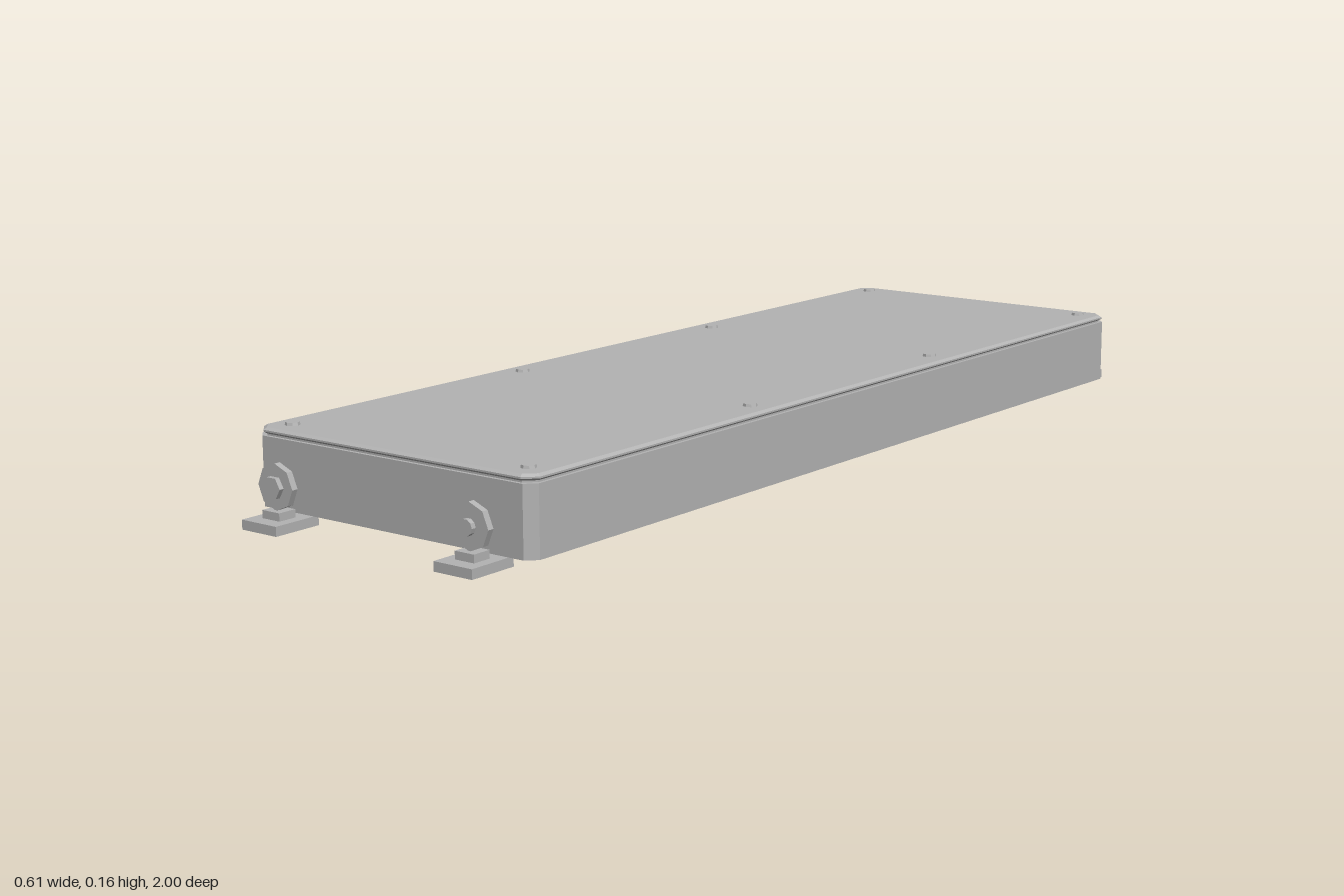
import * as THREE from 'three';

const HALF_X = 0.306, HALF_Z = 0.918, CUT = 0.018;

// Rectangle with cut corners, shrunk by an inset
function cutRect(inset = 0) {
  const w = HALF_X - inset, h = HALF_Z - inset, c = CUT;
  return new THREE.Shape([
    [w - c, -h], [w, -h + c], [w, h - c], [w - c, h],
    [-w + c, h], [-w, h - c], [-w, -h + c], [-w + c, -h],
  ].map(([x, y]) => new THREE.Vector2(x, y)));
}

// Horizontal slab between two heights, with an optional bevelled rim
function slab(y0, y1, inset, bevel = 0) {
  const geo = new THREE.ExtrudeGeometry(cutRect(inset + bevel), {
    depth: y1 - y0 - 2 * Math.min(bevel, 0.004),
    bevelEnabled: bevel > 0, bevelSegments: 1,
    bevelSize: bevel, bevelThickness: Math.min(bevel, 0.004),
  });
  geo.rotateX(-Math.PI / 2);
  geo.translate(0, y0 + Math.min(bevel, 0.004), 0);
  return geo;
}

// Prism lying along z, with a corner on the x axis
function prismZ(radius, depth, sides) {
  return new THREE.CylinderGeometry(radius, radius, depth, sides)
    .rotateY(Math.PI / 2).rotateX(Math.PI / 2);
}

export function createModel() {
  const model = new THREE.Group();
  model.name = 'flatEnclosure';
  const grey = new THREE.MeshStandardMaterial({ color: 0xb3b3b3, flatShading: true });
  grey.name = 'plain grey';

  const add = (parent, name, geo, x = 0, y = 0, z = 0) => {
    const mesh = new THREE.Mesh(geo, grey);
    mesh.name = name;
    mesh.position.set(x, y, z);
    parent.add(mesh);
    return mesh;
  };

  // Case, recessed seal and bevelled lid
  add(model, 'caseBody', slab(0.018, 0.14, 0));
  add(model, 'lidSeal', slab(0.139, 0.145, 0.006));
  add(model, 'lid', slab(0.143, 0.154, 0, 0.006));

  // Lid screws along both long edges
  const screw = new THREE.CylinderGeometry(0.012, 0.0135, 0.006, 8);
  for (const x of [-0.262, 0.262])
    for (const z of [-0.873, -0.291, 0.291, 0.873])
      add(model, 'lidScrew', screw, x, 0.156, z);

  // Mounting feet with an upright washer and bolt
  const plate = new THREE.BoxGeometry(0.08, 0.017, 0.096);
  const neck = new THREE.BoxGeometry(0.04, 0.016, 0.036);
  const washer = prismZ(0.04, 0.012, 8);
  const hex = prismZ(0.02, 0.01, 6);
  const shank = prismZ(0.014, 0.01, 10);
  for (const x of [-0.215, 0.215]) {
    for (const end of [-1, 1]) {
      const foot = new THREE.Group();
      foot.name = 'mountingFoot';
      foot.position.set(x, 0, end * 0.955);
      model.add(foot);
      // The bolt head faces outward on one side, inward on the other
      const headSide = x < 0 ? end : -end;
      add(foot, 'footPlate', plate, 0, 0.0085, -end * 0.003);
      add(foot, 'footNeck', neck, 0, 0.023, 0);
      add(foot, 'footWasher', washer, 0, 0.07, 0);
      add(foot, 'boltHead', hex, 0, 0.07, headSide * 0.01);
      add(foot, 'boltEnd', shank, 0, 0.07, -headSide * 0.01);
    }
  }
  return model;
}
